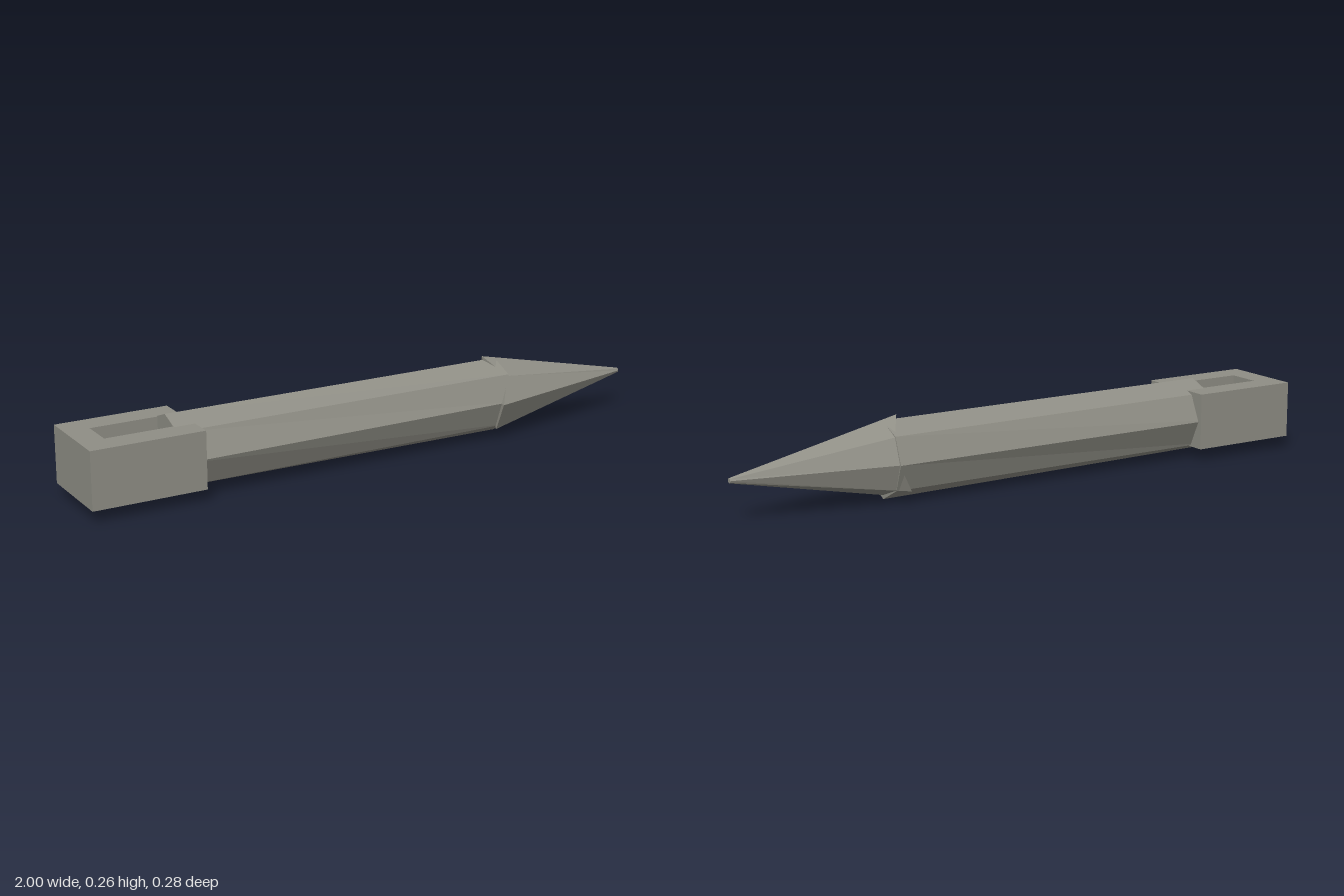
import * as THREE from 'three';

const AXIS_Y = 0.13;
const SIDES = 8;

// Octagonal ring around the x axis; point 0 is at the top, turning towards +z.
function ring(xs, radii) {
  const at = (v, i) => (Array.isArray(v) ? v[i] : v);
  return Array.from({ length: SIDES }, (_, i) => {
    const a = (i / SIDES) * Math.PI * 2;
    const r = at(radii, i);
    return new THREE.Vector3(at(xs, i), AXIS_Y + r * Math.cos(a), r * Math.sin(a));
  });
}

// Closed faceted solid through a list of rings, ordered along +x.
function loft(rings) {
  const pos = [];
  const tri = (...pts) => pts.forEach((p) => pos.push(p.x, p.y, p.z));
  const middle = (r) => r.reduce((s, p) => s.add(p), new THREE.Vector3()).divideScalar(r.length);
  const first = rings[0], last = rings[rings.length - 1];
  for (let i = 0; i < SIDES; i++) {
    const j = (i + 1) % SIDES;
    for (let k = 0; k < rings.length - 1; k++) {
      const a = rings[k], b = rings[k + 1];
      tri(a[i], a[j], b[j]);
      tri(a[i], b[j], b[i]);
    }
    tri(middle(first), first[j], first[i]);
    tri(middle(last), last[i], last[j]);
  }
  const geo = new THREE.BufferGeometry();
  geo.setAttribute('position', new THREE.Float32BufferAttribute(pos, 3));
  geo.computeVertexNormals();
  return geo;
}

export function createModel() {
  const group = new THREE.Group();
  const stone = new THREE.MeshStandardMaterial({ color: 0x8f8e85, flatShading: true });
  stone.name = 'stone grey';
  const add = (name, geo) => {
    const mesh = new THREE.Mesh(geo, stone);
    mesh.name = name;
    group.add(mesh);
  };

  // Shaft, tapering slightly towards the point
  add('shaft', loft([
    ring(-0.7, [0.12, 0.123, 0.127, 0.123, 0.12, 0.122, 0.126, 0.122]),
    ring(0.49, [0.119, 0.119, 0.117, 0.121, 0.13, 0.121, 0.116, 0.119]),
  ]));

  // Spike with an uneven, chipped base edge
  add('spike', loft([
    ring(
      [0.44, 0.49, 0.44, 0.44, 0.49, 0.44, 0.49, 0.49],
      [0.132, 0.108, 0.135, 0.132, 0.117, 0.13, 0.111, 0.115],
    ),
    ring(1, 0.008),
  ]));

  // Fork-shaped eye gripping the end of the shaft
  const eye = new THREE.Shape([
    [-1, -0.14], [-0.63, -0.14], [-0.63, -0.055], [-0.92, -0.055],
    [-0.92, 0.055], [-0.63, 0.055], [-0.63, 0.14], [-1, 0.14],
  ].map(([x, z]) => new THREE.Vector2(x, z)));
  const eyeGeo = new THREE.ExtrudeGeometry(eye, { depth: 0.186, bevelEnabled: false });
  eyeGeo.rotateX(-Math.PI / 2).translate(0, 0.04, 0);
  add('eye', eyeGeo);

  return group;
}
